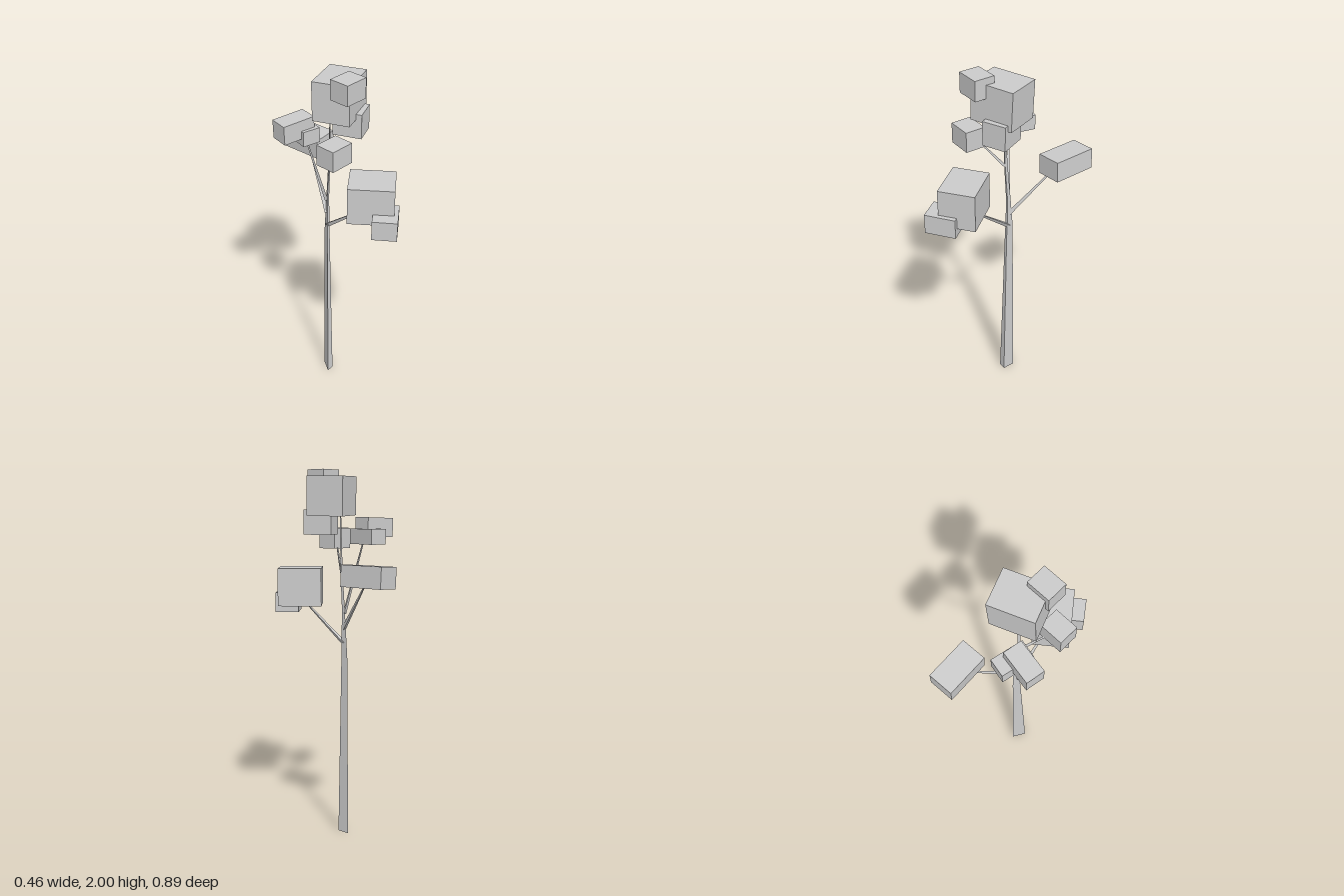
import * as THREE from 'three';

const material = new THREE.MeshStandardMaterial({ color: 0xcccccc, flatShading: true });

// Trunk: right-triangle cross-sections [y, left, right, back, front] joined into a tapering solid.
function makeTrunk() {
  const sections = [
    [0, -0.02, 0.022, -0.095, -0.025],
    [1.0, 0, 0.017, -0.082, -0.041],
    [1.1, 0.003, 0.019, -0.077, -0.043],
    [1.25, 0.004, 0.017, -0.065, -0.045],
    [1.48, 0.004, 0.013, -0.045, -0.03],
    [1.8, 0.007, 0.012, -0.033, -0.026],
  ];
  const positions = [];
  for (const [y, left, right, back, front] of sections) {
    positions.push(right, y, back, left, y, front, right, y, front);
  }
  const index = [0, 2, 1];
  const last = (sections.length - 1) * 3;
  for (let row = 0; row < last; row += 3) {
    for (let i = 0; i < 3; i++) {
      const a = row + i, b = row + (i + 1) % 3;
      index.push(a, b, b + 3, a, b + 3, a + 3);
    }
  }
  index.push(last, last + 1, last + 2);
  const geometry = new THREE.BufferGeometry();
  geometry.setAttribute('position', new THREE.Float32BufferAttribute(positions, 3));
  geometry.setIndex(index);
  geometry.computeVertexNormals();
  return geometry;
}

// Branch: three-sided taper between two points.
function makeBranch(from, to, r0, r1) {
  const a = new THREE.Vector3(...from), b = new THREE.Vector3(...to);
  const dir = b.clone().sub(a);
  const mesh = new THREE.Mesh(new THREE.CylinderGeometry(r1, r0, dir.length(), 3), material);
  mesh.position.copy(a).add(b).multiplyScalar(0.5);
  mesh.quaternion.setFromUnitVectors(new THREE.Vector3(0, 1, 0), dir.normalize());
  return mesh;
}

// Foliage block: turned about y, then tilted slightly.
function makeBlock(size, center, turn, tiltX = 0, tiltZ = 0) {
  const mesh = new THREE.Mesh(new THREE.BoxGeometry(...size), material);
  mesh.position.set(...center);
  mesh.rotation.set(tiltX, THREE.MathUtils.degToRad(turn), tiltZ, 'ZXY');
  return mesh;
}

export function createModel() {
  const model = new THREE.Group();
  model.name = 'tree';
  const add = (name, mesh) => {
    mesh.name = name;
    model.add(mesh);
  };

  add('trunk', new THREE.Mesh(makeTrunk(), material));

  add('frontBranch', makeBranch([0.013, 1.08, -0.055], [0.04, 1.31, 0.23], 0.014, 0.004));
  add('backBranch', makeBranch([0.013, 1.16, -0.055], [0.12, 1.43, -0.29], 0.014, 0.004));
  add('rightBackBranch', makeBranch([0.01, 1.24, -0.055], [-0.085, 1.66, -0.12], 0.011, 0.004));
  add('rightFrontBranch', makeBranch([0.01, 1.46, -0.035], [-0.09, 1.62, 0.085], 0.009, 0.004));

  add('crownFoliage', makeBlock([0.235, 0.203, 0.195], [0.04, 1.86, 0.006], 21.4, -0.025, -0.015));
  add('underCrownFoliage', makeBlock([0.128, 0.13, 0.15], [0.086, 1.725, 0.043], 24));
  add('topFoliage', makeBlock([0.13, 0.105, 0.11], [-0.017, 1.947, 0.114], 0.5));
  add('rightFrontFoliage', makeBlock([0.133, 0.11, 0.11], [-0.108, 1.635, 0.111], 0));
  add('rightBackFoliage', makeBlock([0.18, 0.1, 0.1], [-0.13, 1.697, -0.145], -9.7, 0, 0.03));
  add('backMiddleFoliage', makeBlock([0.097, 0.08, 0.175], [-0.065, 1.65, -0.153], -12));
  add('frontFoliage', makeBlock([0.195, 0.205, 0.237], [0.035, 1.373, 0.237], 38));
  add('frontLowerFoliage', makeBlock([0.165, 0.108, 0.129], [0.018, 1.28, 0.347], 36.5));
  add('backFoliage', makeBlock([0.138, 0.11, 0.24], [0.148, 1.46, -0.322], 3.5, 0, 0.06));

  return model;
}
